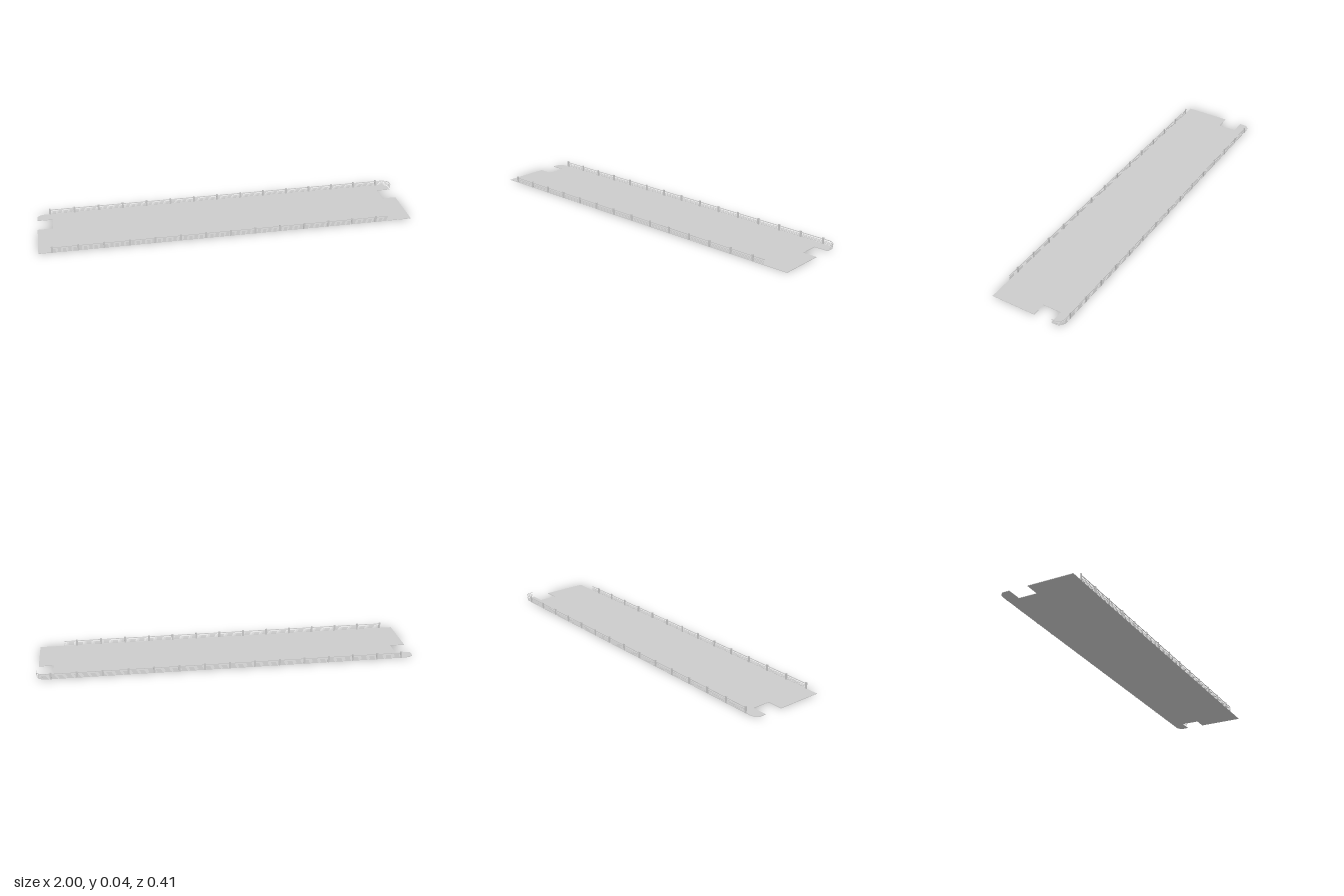
import * as THREE from 'three';

const material = new THREE.MeshStandardMaterial({ color: 0xcccccc, flatShading: true, side: THREE.DoubleSide });

function box(name, w, h, d, x, y, z, turn = 0) {
  const mesh = new THREE.Mesh(new THREE.BoxGeometry(w, h, d), material);
  mesh.name = name;
  mesh.position.set(x, y, z);
  mesh.rotation.y = turn;
  return mesh;
}

// Horizontal bars: [height of centre, bar height, bar depth]
const bars = [[0.0285, 0.003, 0.003], [0.019, 0.0018, 0.0015], [0.013, 0.0018, 0.0015], [0.007, 0.0018, 0.0015]];

// Railing following a path of [x, z] points, with posts at the given x positions
function railing(name, path, postXs, postZ) {
  const group = new THREE.Group();
  group.name = name;
  for (let i = 1; i < path.length; i++) {
    const [x0, z0] = path[i - 1], [x1, z1] = path[i];
    const length = Math.hypot(x1 - x0, z1 - z0);
    const turn = -Math.atan2(z1 - z0, x1 - x0);
    for (const [y, h, d] of bars) {
      group.add(box('railBar', length, h, d, (x0 + x1) / 2, y, (z0 + z1) / 2, turn));
    }
  }
  for (const x of postXs) group.add(box('railPost', 0.01, 0.036, 0.005, x, 0.018, postZ));
  return group;
}

export function createModel() {
  const model = new THREE.Group();
  model.name = 'platform';

  // Thin deck with a rectangular notch at each end and trimmed back corners
  const outline = [
    [-1, 0.203], [0.992, 0.203], [0.992, -0.042], [0.916, -0.042], [0.916, -0.142], [0.992, -0.142],
    [0.992, -0.18], [0.983, -0.192], [0.965, -0.203], [-0.962, -0.203], [-0.982, -0.198], [-1, -0.182],
    [-1, -0.142], [-0.92, -0.142], [-0.92, -0.042], [-1, -0.042],
  ];
  const shape = new THREE.Shape(outline.map(([x, z]) => new THREE.Vector2(x, -z)));
  const deckGeometry = new THREE.ExtrudeGeometry(shape, { depth: 0.0025, bevelEnabled: false });
  deckGeometry.rotateX(-Math.PI / 2);
  const deck = new THREE.Mesh(deckGeometry, material);
  deck.name = 'deck';
  model.add(deck);

  // Evenly spaced posts
  const postXs = Array.from({ length: 15 }, (_, i) => -0.93 + i * 0.1325);

  // Front railing stops short of the left end
  model.add(railing('frontRailing', [[-0.935, 0.202], [0.86, 0.202]], postXs.slice(0, 14), 0.202));

  // Back railing wraps around the left corner
  const backPath = [[-0.935, -0.202], [0.965, -0.202], [0.986, -0.193], [0.998, -0.178], [0.998, -0.15]];
  model.add(railing('backRailing', backPath, postXs, -0.202));

  return model;
}
